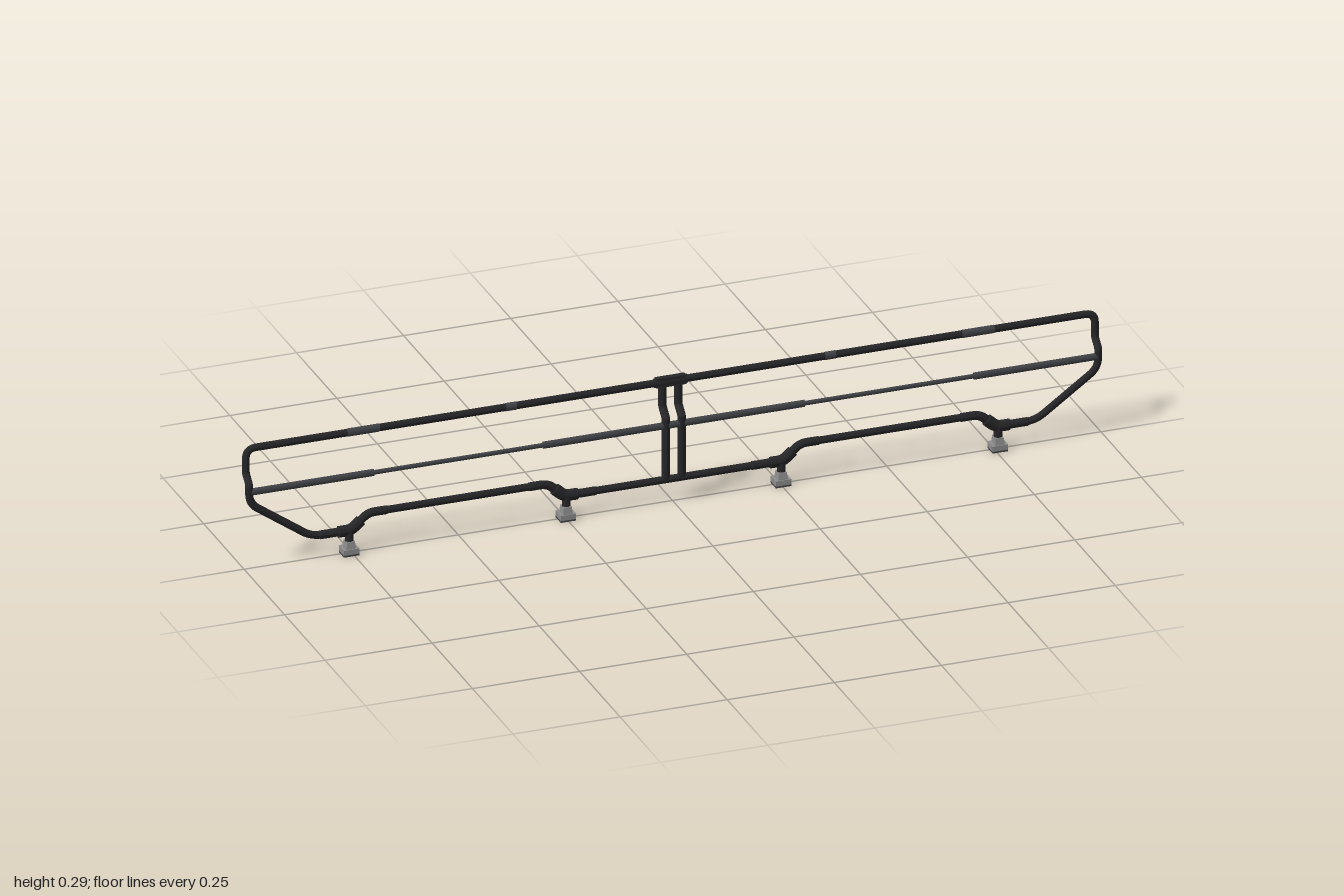
import * as THREE from 'three';

const TUBE_R = 0.009, DEPTH = 0.67;
const RAIL_Y = 0.283, MID_Y = 0.187, LOW_Y = 0.057, HIGH_Y = 0.092;
const paint = (color) => new THREE.MeshStandardMaterial({ color });
const BLACK = paint(0x27272a), CHARCOAL = paint(0x424448), STEEL = paint(0x8e8e8e);

// The frame steps backwards between the mid rail and the top rail.
const zAt = (y) => 0.007 - 0.0203 * THREE.MathUtils.clamp((y - 0.206) / 0.019, 0, 1);

function add(parent, name, material, geometry, x = 0, y = 0, z = 0) {
  const mesh = new THREE.Mesh(geometry, material);
  mesh.name = name;
  mesh.position.set(x, y, z);
  parent.add(mesh);
}

// Polyline with rounded corners, points given as [x, y].
function roundedPath(points, radius, closed = false) {
  const v = points.map(([x, y]) => new THREE.Vector3(x, y, 0));
  const path = new THREE.CurvePath();
  let from = v[0];
  const n = v.length;
  for (let i = 1; i < (closed ? n : n - 1); i++) {
    const p = v[i], next = v[(i + 1) % n];
    const toPrev = v[i - 1].clone().sub(p), toNext = next.clone().sub(p);
    const r = Math.min(radius, toPrev.length() * 0.45, toNext.length() * 0.45);
    const a = p.clone().add(toPrev.setLength(r));
    const b = p.clone().add(toNext.setLength(r));
    path.add(new THREE.LineCurve3(from, a));
    path.add(new THREE.QuadraticBezierCurve3(a, p, b));
    from = b;
  }
  path.add(new THREE.LineCurve3(from, closed ? v[0] : v[n - 1]));
  return path;
}

// Tube drawn flat in x/y, then bent backwards to follow the frame profile.
function bentTube(path, radius, segments, closed = false) {
  const sides = 12;
  const g = new THREE.TubeGeometry(path, segments, radius, sides, closed);
  const p = g.attributes.position;
  if (!closed) {
    // Draw the end rings together so the tube is capped.
    const ends = [[0, path.getPointAt(0)], [segments * (sides + 1), path.getPointAt(1)]];
    for (const [start, c] of ends) {
      for (let j = 0; j <= sides; j++) p.setXYZ(start + j, c.x, c.y, c.z);
    }
  }
  for (let i = 0; i < p.count; i++) p.setZ(i, p.getZ(i) * DEPTH + zAt(p.getY(i)));
  g.computeVertexNormals();
  return g;
}

// Straight horizontal bar between two x positions.
function bar(parent, name, material, x0, x1, y, radius) {
  const g = new THREE.CylinderGeometry(radius, radius, Math.abs(x1 - x0), 12);
  g.rotateZ(Math.PI / 2).scale(1, 1, DEPTH);
  add(parent, name, material, g, (x0 + x1) / 2, y, zAt(y));
}

// Clamp and foot; side is the direction in which the lower tube rises.
function foot(x, side) {
  const g = new THREE.Group();
  g.name = 'foot';
  const sleevePath = roundedPath(
    [[x - side * 0.072, LOW_Y], [x + side * 0.004, LOW_Y],
      [x + side * 0.044, HIGH_Y], [x + side * 0.09, HIGH_Y]], 0.015);
  add(g, 'tubeSleeve', BLACK, bentTube(sleevePath, 0.0104, 60));
  const clampPath = roundedPath(
    [[x - side * 0.028, LOW_Y], [x + side * 0.004, LOW_Y], [x + side * 0.028, 0.078]], 0.012);
  add(g, 'tubeClamp', BLACK, bentTube(clampPath, 0.0138, 40));
  add(g, 'footPost', BLACK, new THREE.CylinderGeometry(0.0095, 0.0095, 0.03, 12), x, 0.045, 0.007);

  // Square tapered neck over a flat pad
  const neck = new THREE.CylinderGeometry(0.013, 0.016, 0.017, 4, 1).toNonIndexed();
  neck.rotateY(Math.PI / 4).scale(1, 1, 1.15);
  neck.computeVertexNormals();
  add(g, 'footNeck', STEEL, neck, x, 0.0245, 0.007);
  add(g, 'footPad', STEEL, new THREE.BoxGeometry(0.036, 0.0125, 0.032), x, 0.0102, 0.006);
  add(g, 'footSole', CHARCOAL, new THREE.BoxGeometry(0.036, 0.004, 0.032), x, 0.002, 0.006);
  return g;
}

export function createModel() {
  const model = new THREE.Group();
  model.name = 'guardRail';

  // Outer loop of bent tube, with two raised stretches along the bottom
  const half = [[0.991, RAIL_Y], [0.991, 0.16], [0.845, LOW_Y], [0.757, LOW_Y],
    [0.715, HIGH_Y], [0.295, HIGH_Y], [0.255, LOW_Y]];
  const mirrored = half.map(([x, y]) => [-x, y]).reverse();
  const loop = roundedPath([[0, RAIL_Y], ...half, ...mirrored], 0.024, true);
  add(model, 'outerFrame', BLACK, bentTube(loop, TUBE_R, 900, true));

  // Middle rail: thick sleeves joined by thinner rods
  bar(model, 'midRailCentre', CHARCOAL, -0.305, 0.305, MID_Y, 0.0085);
  for (const s of [-1, 1]) {
    bar(model, 'midRailEnd', CHARCOAL, s * 0.7, s * 0.99, MID_Y, 0.0085);
    bar(model, 'midRailRod', CHARCOAL, s * 0.3, s * 0.705, MID_Y, 0.0055);

    // Thin sleeves on the top rail
    bar(model, 'topRailSleeve', CHARCOAL, s * 0.68, s * 0.755, RAIL_Y, 0.0098);
    bar(model, 'topRailBand', CHARCOAL, s * 0.36, s * 0.385, RAIL_Y, 0.0098);

    // Twin centre posts, following the step of the frame
    const post = roundedPath([[s * 0.0185, LOW_Y], [s * 0.0185, RAIL_Y]], 0);
    add(model, 'centrePost', BLACK, bentTube(post, 0.0098, 80));

    model.add(foot(s * 0.251, s), foot(s * 0.757, -s));
  }

  // Bracket joining the posts to the top rail
  bar(model, 'topBracket', BLACK, -0.038, 0.038, RAIL_Y, 0.0115);
  add(model, 'topBracketPlate', BLACK, new THREE.BoxGeometry(0.07, 0.022, 0.0135), 0, 0.2835, zAt(RAIL_Y));
  return model;
}
